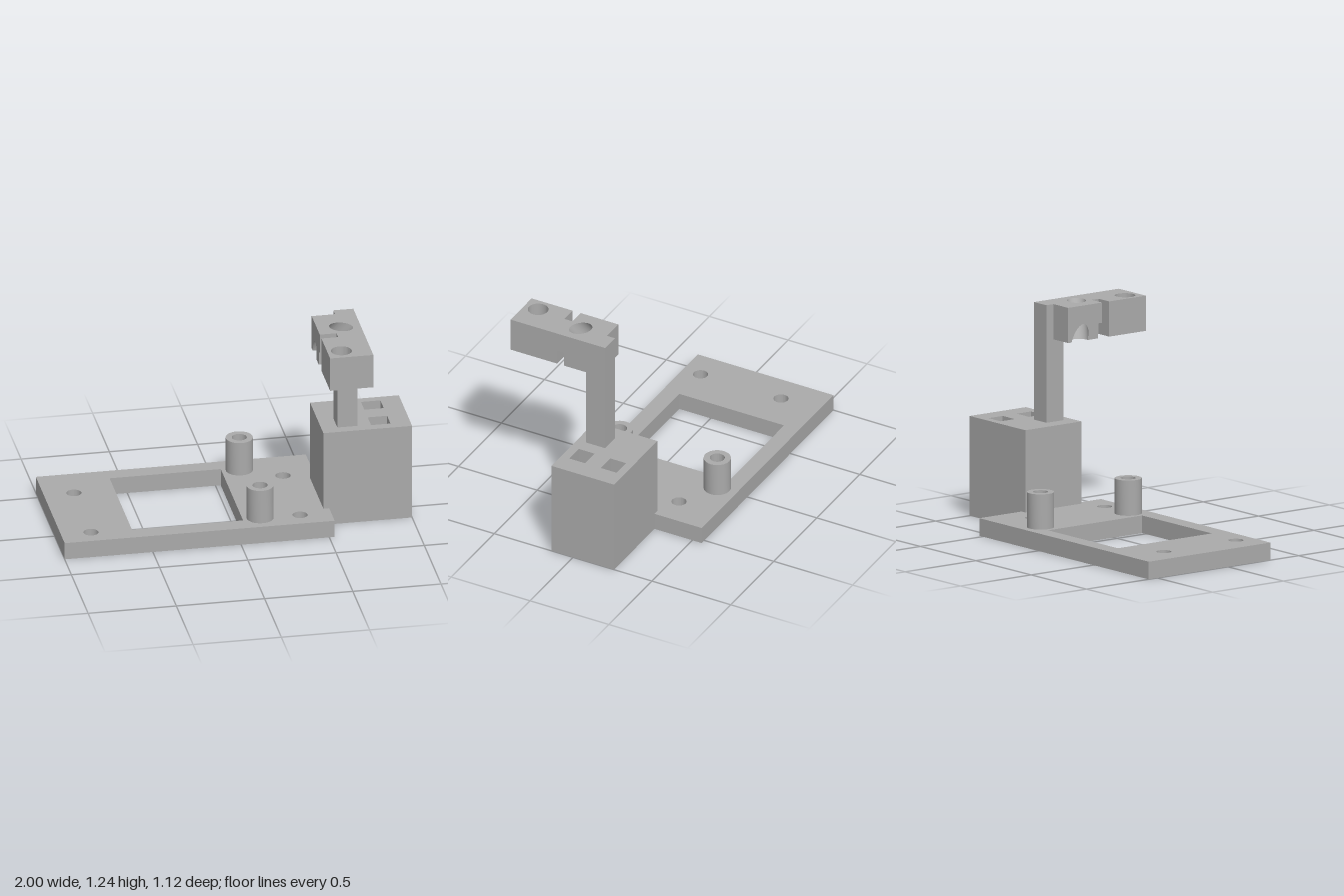
import * as THREE from 'three';
import { toCreasedNormals } from 'three/addons/utils/BufferGeometryUtils.js';

export function createModel() {
  const group = new THREE.Group();
  const grey = new THREE.MeshStandardMaterial({ color: 0xaaaaaa, side: THREE.DoubleSide });
  grey.name = 'plainGrey';

  const add = (name, geometry, parent = group) => {
    const mesh = new THREE.Mesh(geometry, grey);
    mesh.name = name;
    parent.add(mesh);
    return mesh;
  };
  const rect = (x0, x1, z0, z1) => [[x0, z0], [x1, z0], [x1, z1], [x0, z1]];
  const circle = (x, z, r) => Array.from({ length: 40 }, (_, i) => {
    const a = (i / 40) * Math.PI * 2;
    return [x + r * Math.cos(a), z + r * Math.sin(a)];
  });
  const vectors = (points, sign = 1) => points.map(([a, b]) => new THREE.Vector2(a, sign * b));

  // Vertical prism from an outline in x and z, with holes through it
  const prism = (name, outline, holes, y0, y1, parent) => {
    const shape = new THREE.Shape(vectors(outline, -1));
    shape.holes = holes.map((h) => new THREE.Path(vectors(h, -1)));
    const geo = new THREE.ExtrudeGeometry(shape, { depth: y1 - y0, bevelEnabled: false });
    geo.rotateX(-Math.PI / 2).translate(0, y0, 0);
    return add(name, toCreasedNormals(geo, 0.6), parent);
  };
  // Flat panel whose 2D points are placed in space by a rule
  const panel = (name, outline, place, parent, holes = []) => {
    const shape = new THREE.Shape(vectors(outline));
    shape.holes = holes.map((h) => new THREE.Path(vectors(h)));
    const geo = new THREE.ShapeGeometry(shape);
    const pos = geo.attributes.position;
    for (let i = 0; i < pos.count; i++) pos.setXYZ(i, ...place(pos.getX(i), pos.getY(i)));
    geo.computeVertexNormals();
    return add(name, geo, parent);
  };

  // Base plate with window, screw holes and two tubular bosses
  const bossSpots = [[0.13, -0.44], [0.13, 0.18]];
  const screwSpots = [[-0.83, -0.32], [-0.83, 0.19], [0.355, -0.32], [0.355, 0.19]];
  prism('basePlate', rect(-1, 0.53, -0.56, 0.3), [
    rect(-0.6, 0.03, -0.465, 0.2),
    ...[...bossSpots, ...screwSpots].map(([x, z]) => circle(x, z, 0.042)),
  ], 0, 0.1);
  for (const [x, z] of bossSpots) prism('boss', circle(x, z, 0.076), [circle(x, z, 0.042)], 0.1, 0.3);

  // Tall block with two square shafts
  prism('sideBlock', rect(0.497, 1, -0.26, 0.137), [
    rect(0.777, 0.887, -0.215, -0.115), rect(0.777, 0.887, -0.015, 0.085),
  ], 0, 0.567);

  // Post
  prism('post', rect(0.587, 0.7, -0.04, 0.08), [], 0.567, 1.235);

  // Arm: front end with round hole, and the neck beside the open slot
  const arm = new THREE.Group();
  arm.name = 'arm';
  group.add(arm);
  const [xl, xr, yb, yt, yn] = [0.455, 0.7, 1.035, 1.235, 1.12];
  const [zb, zn, zs] = [0.01, 0.22, 0.25];
  prism('armFront', rect(xl, xr, 0.3, 0.56), [circle(0.535, 0.475, 0.058)], yb, yt, arm);
  prism('armNeck', rect(0.55, xr, 0.265, 0.3), [], yb, yt, arm);
  prism('armNeckBridge', rect(0.55, xr, zs, 0.265), [], yn, yt, arm);

  // Slanted bore: elliptical section that shifts as it goes down
  const [cx, cz, r, sx, sz, h] = [0.59, 0.175, 0.0535, 0.67, 0.42, yt - yb];
  const slope = Math.hypot(sx, sz);
  const R = r * Math.hypot(1, slope);
  const [mx, mz] = [sx / slope, sz / slope];
  const rho = Math.hypot(R * mx, r * mz);
  const phase = Math.atan2(-r * mz, R * mx);
  const bore = (t, depth) => {
    const a = t + phase;
    return [
      cx + R * mx * Math.cos(a) - r * mz * Math.sin(a) - sx * depth,
      cz + R * mz * Math.cos(a) + r * mx * Math.sin(a) - sz * depth,
    ];
  };
  const exitDepth = (t) => Math.min(h, (bore(t, 0)[0] - xl) / sx);
  const tb = Math.acos((xl - cx + sx * h) / rho); // where the bore leaves through the side
  const range = (a, b) => Array.from({ length: 25 }, (_, i) => a + ((b - a) * i) / 24);
  const bottomArc = range(tb, -tb).map((t) => bore(t, h));
  const sideArc = range(tb, 2 * Math.PI - tb).map((t) => [bore(t, exitDepth(t))[1], yt - exitDepth(t)]);

  const angles = [...range(-tb, tb), ...range(tb, 2 * Math.PI - tb).slice(1)];
  const verts = [];
  const index = [];
  angles.forEach((t, i) => {
    for (const d of [0, exitDepth(t)]) {
      const [x, z] = bore(t, d);
      verts.push(x, yt - d, z);
    }
    const k = 2 * i;
    if (i < angles.length - 1) index.push(k, k + 1, k + 2, k + 1, k + 3, k + 2);
  });
  const wall = new THREE.BufferGeometry();
  wall.setAttribute('position', new THREE.Float32BufferAttribute(verts, 3));
  wall.setIndex(index);
  wall.computeVertexNormals();
  add('slantedBore', wall, arm);

  // Rear part of the arm around the bore
  const level = (y) => (x, z) => [x, y, z];
  const across = (z) => (x, y) => [x, y, z];
  const side = (x) => (z, y) => [x, y, z];
  const profile = [[zb, yb], [zb, yt], [zs, yt], [zs, yn], [zn, yn], [zn, yb]];
  panel('armTop', rect(xl, xr, zb, zs), level(yt), arm, [range(0, 2 * Math.PI).slice(0, 24).map((t) => bore(t, 0))]);
  panel('armBottom', [...rect(xl, xr, zb, zn), ...bottomArc], level(yb), arm);
  panel('notchCeiling', rect(xl, xr, zn, zs), level(yn), arm);
  panel('armInnerSide', [...profile, ...sideArc], side(xl), arm);
  panel('armOuterSide', profile, side(xr), arm);
  panel('armBack', rect(xl, xr, yb, yt), across(zb), arm);
  panel('notchWall', rect(xl, xr, yb, yn), across(zn), arm);
  panel('slotWall', rect(xl, xr, yn, yt), across(zs), arm);

  return group;
}
